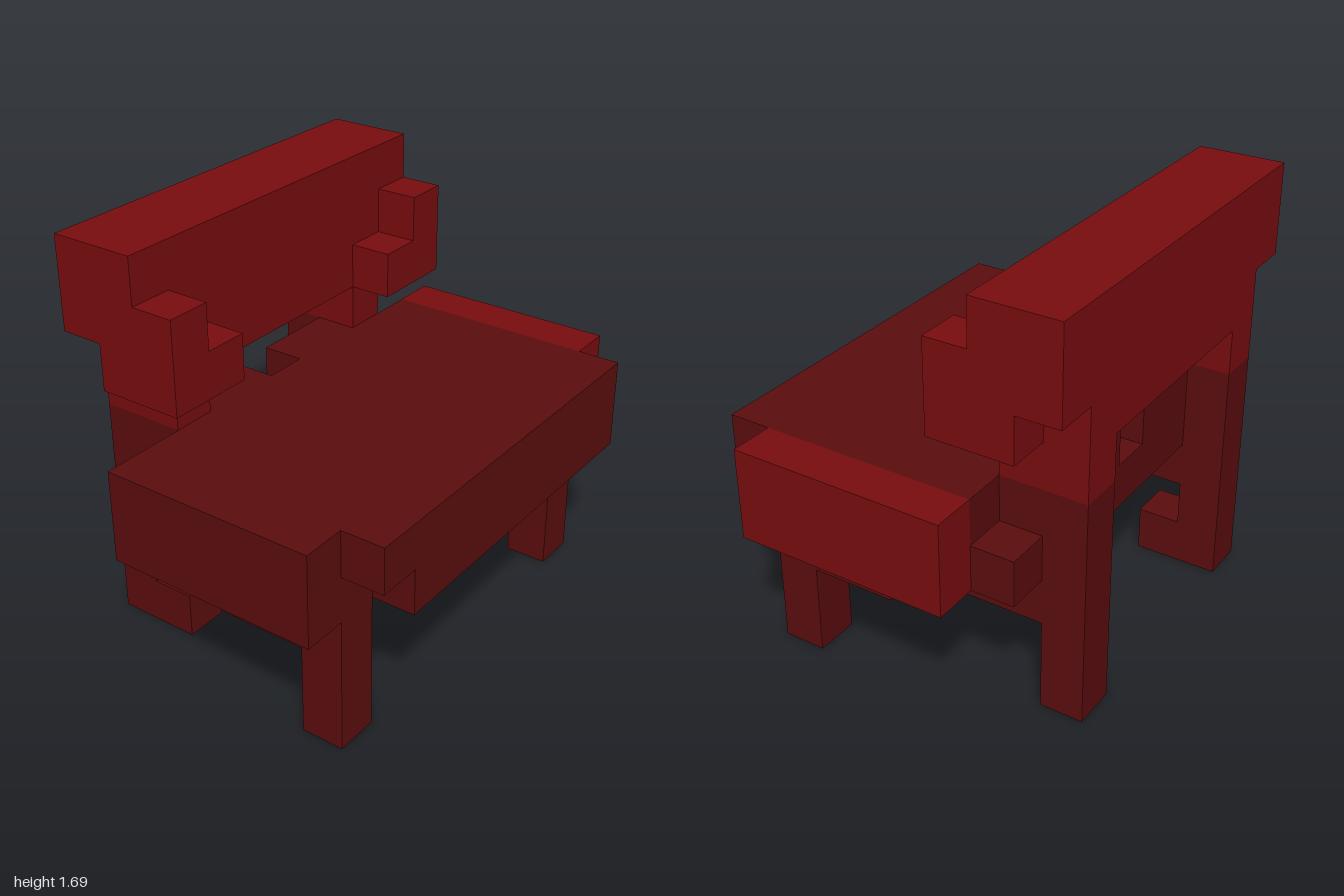
import * as THREE from 'three';

// Block grid: 11 cells wide, 9 high, 8 deep
const SX = 2 / 11, SY = 1.69 / 9, SZ = 1.41 / 8;

export function createModel() {
  const model = new THREE.Group();
  model.name = 'bench';
  const dark = new THREE.MeshStandardMaterial({ color: 0x5c0d0e });
  dark.name = 'dark red';
  const red = new THREE.MeshStandardMaterial({ color: 0x7a0d0f });
  red.name = 'bright red';

  // Box between two grid corners; z counts from the back
  function block(name, mat, x0, x1, y0, y1, z0, z1) {
    const geo = new THREE.BoxGeometry((x1 - x0) * SX, (y1 - y0) * SY, (z1 - z0) * SZ);
    const mesh = new THREE.Mesh(geo, mat);
    mesh.name = name;
    mesh.position.set(((x0 + x1) / 2 - 5.5) * SX, (y0 + y1) / 2 * SY, ((z0 + z1) / 2 - 4) * SZ);
    model.add(mesh);
  }
  // The same block on both sides
  function pair(name, mat, x0, x1, ...rest) {
    block(name + 'Left', mat, x0, x1, ...rest);
    block(name + 'Right', mat, 11 - x1, 11 - x0, ...rest);
  }

  // Seat with one bright end, a chipped front corner and a notched back
  block('seat', dark, 0, 10, 3, 5, 2, 7);
  block('seatEnd', red, 10, 11, 3, 5, 2, 7);
  block('seatFrontUpper', dark, 1, 10, 4, 5, 7, 8);
  block('seatFrontLower', dark, 2, 10, 3, 4, 7, 8);
  block('seatBackLower', dark, 3, 8, 3, 4, 1, 2);
  block('seatBackUpperRight', dark, 3, 5, 4, 5, 1, 2);
  block('seatBackUpperLeft', dark, 6, 8, 4, 5, 1, 2);

  // Legs and stepped side rails
  pair('frontLeg', dark, 9, 10, 0, 3, 6, 7);
  pair('frontRail', dark, 9, 10, 2, 3, 4, 6);
  pair('rearRail', dark, 8, 9, 2, 3, 1, 4);
  pair('backLeg', dark, 8, 9, 0, 3, 0, 1);
  block('backFoot', dark, 2, 3, 0, 1, 1, 2);

  // Cross beams under the seat
  block('frontApron', dark, 2, 9, 2, 3, 5, 6);
  block('rearBeam', dark, 3, 8, 2, 3, 2, 3);

  // Posts carrying the backrest
  pair('lowerPost', dark, 8, 9, 3, 5, 0, 2);
  pair('postBracket', dark, 9, 10, 3, 4, 1, 2);
  pair('upperPost', red, 8, 9, 5, 6, 0, 2);

  // Backrest with stepped side wings
  block('backrestTop', red, 1, 10, 7, 9, 0, 2);
  block('backrestLower', red, 1, 10, 6, 7, 1, 2);
  block('backrestRear', red, 2, 9, 6, 7, 0, 1);
  pair('wingOuter', red, 9, 10, 6, 8, 2, 3);
  pair('wingInner', red, 8, 9, 6, 7, 2, 3);

  return model;
}
